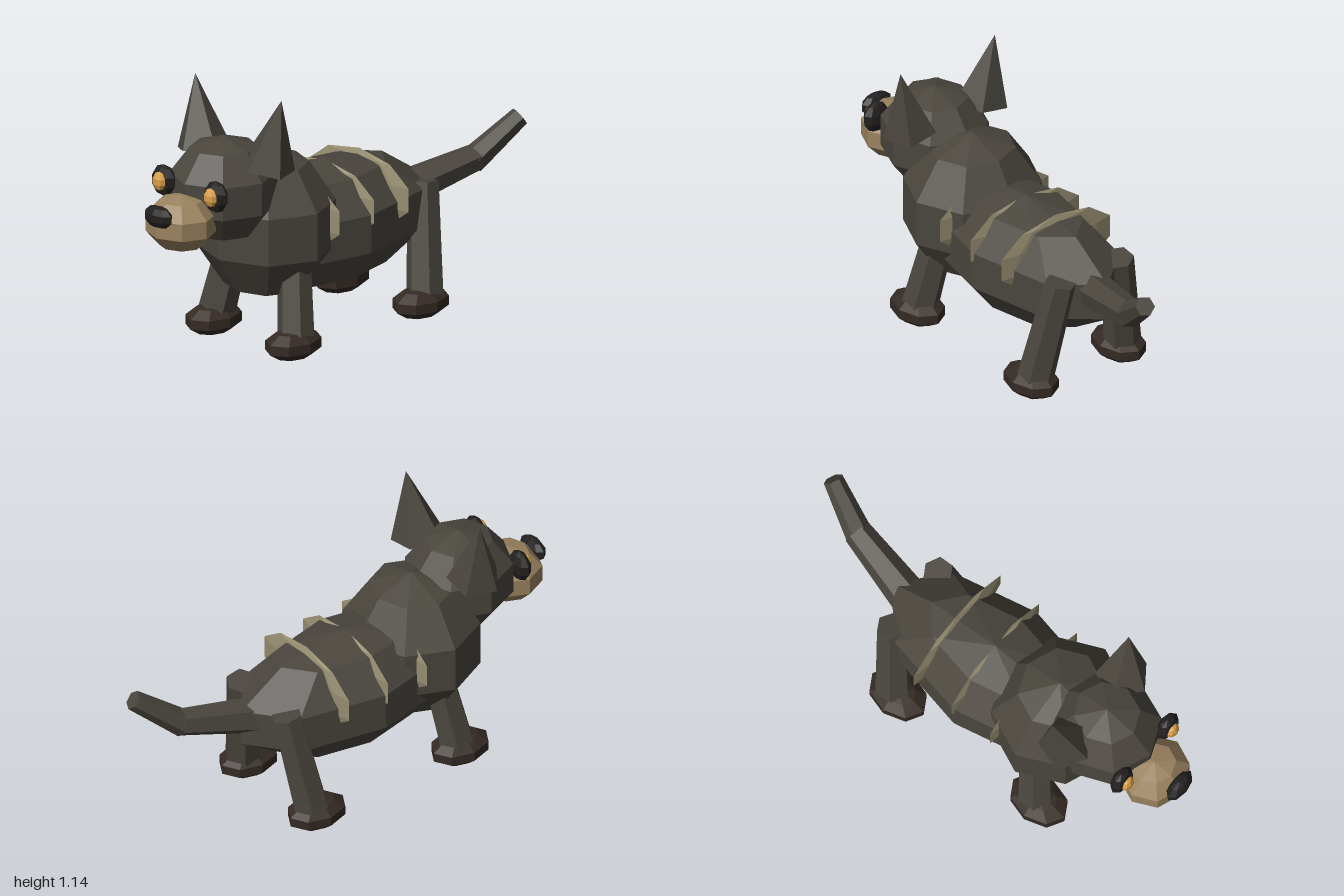
import * as THREE from 'three';

const mat = (color) => new THREE.MeshStandardMaterial({ color, flatShading: true });

export function createModel() {
  const model = new THREE.Group();
  const fur = mat(0x4a463e), tan = mat(0x9a825f), dark = mat(0x22201f);
  const pawFur = mat(0x352a24), gold = mat(0xd9a04a), stripeFur = mat(0x968d70);

  const add = (name, geometry, material) => {
    const mesh = new THREE.Mesh(geometry, material);
    mesh.name = name;
    model.add(mesh);
    return mesh;
  };

  // Low-poly ellipsoid: centre and radii
  const blob = (name, material, [x, y, z], [rx, ry, rz]) => {
    const g = new THREE.SphereGeometry(1, 8, 5);
    g.scale(rx, ry, rz);
    add(name, g, material).position.set(x, y, z);
  };

  // Six-sided tapered limb running from point a down to point b
  const limb = (name, a, b, ra, rb) => {
    const top = new THREE.Vector3(...a), bottom = new THREE.Vector3(...b);
    const axis = top.clone().sub(bottom);
    const mesh = add(name, new THREE.CylinderGeometry(ra, rb, axis.length(), 6), fur);
    mesh.position.copy(top).add(bottom).multiplyScalar(0.5);
    mesh.quaternion.setFromUnitVectors(new THREE.Vector3(0, 1, 0), axis.normalize());
  };

  // Torso and head
  blob('body', fur, [0, 0.445, 0], [0.285, 0.265, 0.565]);
  blob('chest', fur, [0, 0.52, 0.34], [0.31, 0.325, 0.29]);
  blob('head', fur, [0, 0.725, 0.585], [0.23, 0.225, 0.24]);
  blob('muzzle', tan, [0, 0.637, 0.835], [0.157, 0.12, 0.147]);
  blob('nose', dark, [0, 0.692, 0.965], [0.078, 0.048, 0.037]);

  // Thin discs that break through the back as stripes
  for (const z of [0.2, 0, -0.2]) {
    blob('stripe', stripeFur, [0, 0.545, z], [0.3, 0.16, 0.023]);
  }

  // Mirrored parts
  for (const s of [1, -1]) {
    const side = s > 0 ? 'left' : 'right';
    blob(side + 'EyeSocket', dark, [s * 0.15, 0.77, 0.782], [0.063, 0.068, 0.037]);
    blob(side + 'Eye', gold, [s * 0.148, 0.772, 0.81], [0.034, 0.041, 0.024]);

    const ear = add(side + 'Ear', new THREE.ConeGeometry(0.115, 0.305, 5), fur);
    ear.position.set(s * 0.218, 0.991, 0.51);
    ear.rotation.set(-0.06, 0, -s * 0.2);

    limb(side + 'FrontLeg', [s * 0.15, 0.52, 0.33], [s * 0.232, 0.07, 0.4], 0.066, 0.079);
    blob(side + 'FrontPaw', pawFur, [s * 0.23, 0.065, 0.413], [0.102, 0.065, 0.141]);
    limb(side + 'BackLeg', [s * 0.15, 0.545, -0.42], [s * 0.232, 0.07, -0.348], 0.066, 0.079);
    blob(side + 'BackPaw', pawFur, [s * 0.23, 0.065, -0.325], [0.102, 0.065, 0.141]);
  }

  // Kinked tail
  limb('tailBase', [0.083, 0.54, -0.79], [0, 0.46, -0.4], 0.06, 0.085);
  limb('tailTip', [0.157, 0.69, -0.975], [0.078, 0.525, -0.77], 0.042, 0.058);

  return model;
}
